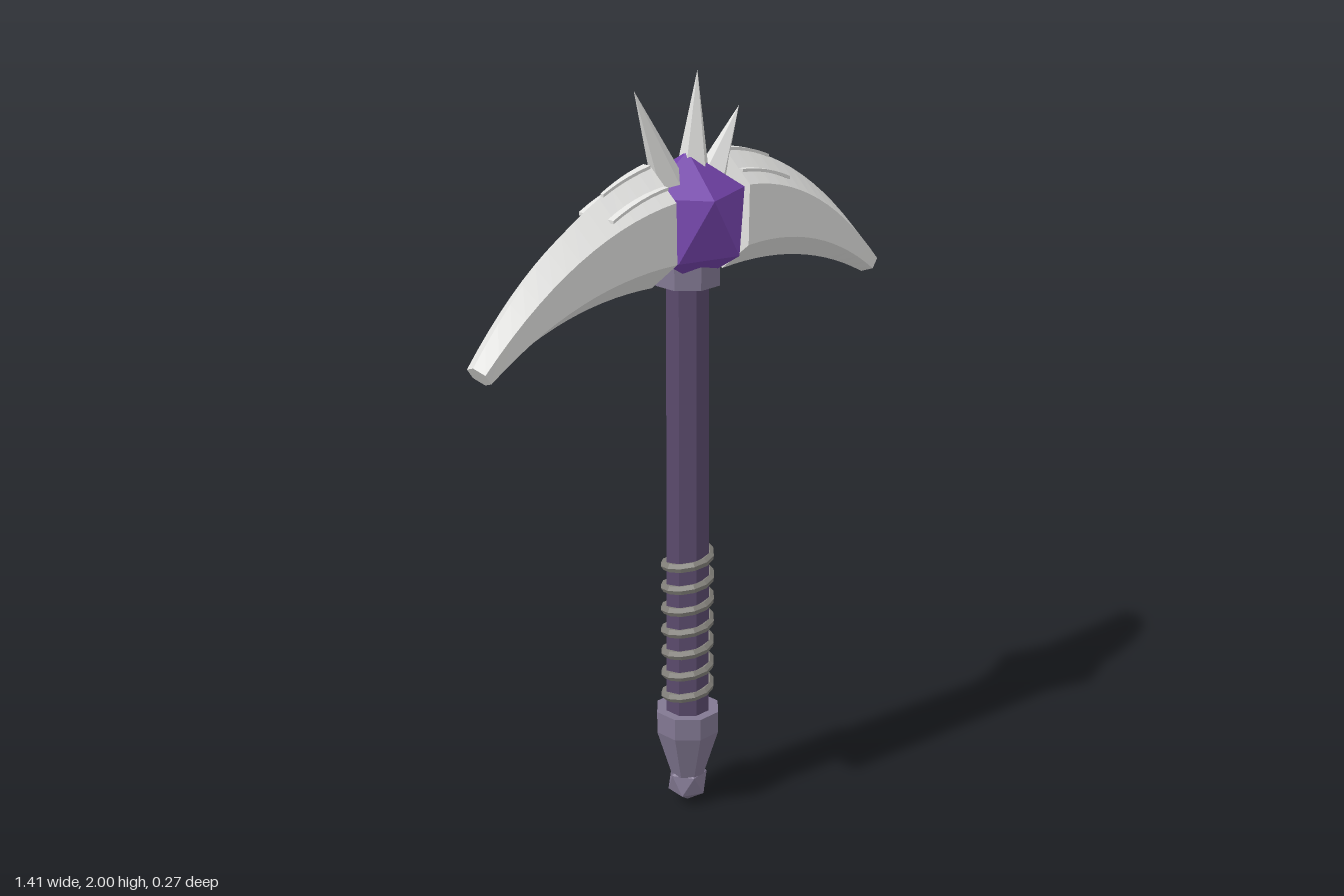
import * as THREE from 'three';

const mat = (name, color) => {
  const m = new THREE.MeshStandardMaterial({ color, flatShading: true });
  m.name = name;
  return m;
};

// Icosahedron standing on a vertex
const gem = (rx, ry, turn) =>
  new THREE.IcosahedronGeometry(1).rotateZ(-Math.atan(2 / (1 + Math.sqrt(5)))).rotateY(turn).scale(rx, ry, rx);

// Closed solid joining rings of points, each ring clockwise seen from +x
function loft(rings) {
  const n = rings[0].length, last = rings.length - 1, pos = [];
  const tri = (...pts) => pts.forEach((p) => pos.push(...p));
  for (let i = 0; i < last; i++) {
    for (let j = 0; j < n; j++) {
      const k = (j + 1) % n, a = rings[i], b = rings[i + 1];
      tri(a[j], b[j], b[k]);
      tri(a[j], b[k], a[k]);
    }
  }
  for (let j = 1; j < n - 1; j++) {
    tri(rings[0][0], rings[0][j], rings[0][j + 1]);
    tri(rings[last][0], rings[last][j + 1], rings[last][j]);
  }
  const g = new THREE.BufferGeometry();
  g.setAttribute('position', new THREE.Float32BufferAttribute(pos, 3));
  g.computeVertexNormals();
  return g;
}

const curve = (...p) => new THREE.QuadraticBezierCurve(...p.map(([x, y]) => new THREE.Vector2(x, y)));

// Six-sided blade swept between its upper and lower edge curves
function bladeGeometry() {
  const top = curve([0.13, 1.79], [0.43, 1.74], [0.705, 1.41]);
  const bottom = curve([0.125, 1.48], [0.42, 1.5], [0.67, 1.36]);
  const section = [[0, 0], [0.25, -1], [0.75, -1], [1, 0], [0.75, 1], [0.25, 1]];
  const rings = [];
  for (let i = 0; i <= 14; i++) {
    const t = i / 14, a = top.getPoint(t), b = bottom.getPoint(t);
    const half = 0.09 - 0.057 * t;
    rings.push(section.map(([f, s]) => {
      const p = a.clone().lerp(b, f);
      return [p.x, p.y, s * half];
    }));
  }
  return loft(rings);
}

// Thin strip along a path, tapering from half width w0 to w1
function stripGeometry(path, h, w0, w1) {
  const rings = [];
  for (let i = 0; i <= 6; i++) {
    const p = path.getPoint(i / 6), w = THREE.MathUtils.lerp(w0, w1, i / 6);
    rings.push([[p.x, p.y + h, -w], [p.x, p.y - h, -w], [p.x, p.y - h, w], [p.x, p.y + h, w]]);
  }
  return loft(rings);
}

export function createModel() {
  const group = new THREE.Group();
  group.name = 'pickaxe';
  const steel = mat('pale steel', 0xe2e2e0);
  const purple = mat('purple crystal', 0x7343aa);
  const wood = mat('dark violet shaft', 0x5a4a6c);
  const fitting = mat('grey violet fitting', 0x827892);
  const wire = mat('grey wire', 0x82807a);

  const add = (name, geo, material, parent = group) => {
    const m = new THREE.Mesh(geo, material);
    m.name = name;
    parent.add(m);
    return m;
  };
  const prism = (name, rTop, rBottom, y0, y1, material) => {
    const g = new THREE.CylinderGeometry(rTop, rBottom, y1 - y0, 8).rotateY(Math.PI / 8);
    add(name, g, material).position.y = (y0 + y1) / 2;
  };

  // Shaft, collar and pommel
  prism('shaft', 0.058, 0.061, 0.25, 1.52, wood);
  prism('collar', 0.087, 0.087, 1.47, 1.53, fitting);
  prism('pommelRing', 0.088, 0.088, 0.225, 0.285, fitting);
  prism('pommelTaper', 0.088, 0.046, 0.09, 0.225, fitting);
  add('pommelKnob', gem(0.058, 0.06, 0.5), fitting).position.y = 0.064;

  // Wire wound around the grip
  const coil = [];
  const turns = 7;
  for (let i = 0; i <= turns * 8; i++) {
    const a = (i / 8) * Math.PI * 2 + Math.PI / 2;
    coil.push(new THREE.Vector3(0.06 * Math.sin(a), 0.302 + (0.438 * i) / (turns * 8), 0.06 * Math.cos(a)));
  }
  add('gripWire', new THREE.TubeGeometry(new THREE.CatmullRomCurve3(coil), turns * 12, 0.013, 6), wire);

  // Crystal core
  add('core', gem(0.16, 0.172, Math.PI / 5), purple).position.y = 1.632;

  // Twin blades, each with a ledge on its slopes and a sliver on its ridge
  const ledgePath = curve([0.13, 1.743], [0.22, 1.735], [0.31, 1.693]);
  const ridgePath = curve([0.14, 1.789], [0.22, 1.776], [0.29, 1.744]);
  for (const side of ['left', 'right']) {
    const blade = new THREE.Group();
    blade.name = side + 'Blade';
    if (side === 'right') blade.rotation.y = Math.PI;
    add(side + 'BladeBody', bladeGeometry(), steel, blade);
    add(side + 'BladeLedge', stripGeometry(ledgePath, 0.004, 0.064, 0.06), steel, blade);
    add(side + 'BladeRidge', stripGeometry(ridgePath, 0.004, 0.012, 0.005), steel, blade);
    group.add(blade);
  }

  // Crown spikes: base centre, tip, base radius
  const spikes = [
    ['rightSpike', [-0.06, 1.72], [-0.182, 1.98], 0.045],
    ['middleSpike', [0.02, 1.75], [0.034, 2], 0.043],
    ['leftSpike', [0.075, 1.71], [0.182, 1.89], 0.045],
  ];
  for (const [name, [bx, by], [tx, ty], r] of spikes) {
    const length = Math.hypot(tx - bx, ty - by);
    const m = add(name, new THREE.ConeGeometry(r, length, 5), steel);
    m.position.set((bx + tx) / 2, (by + ty) / 2, 0);
    m.rotation.z = -Math.atan2(tx - bx, ty - by);
  }
  return group;
}
